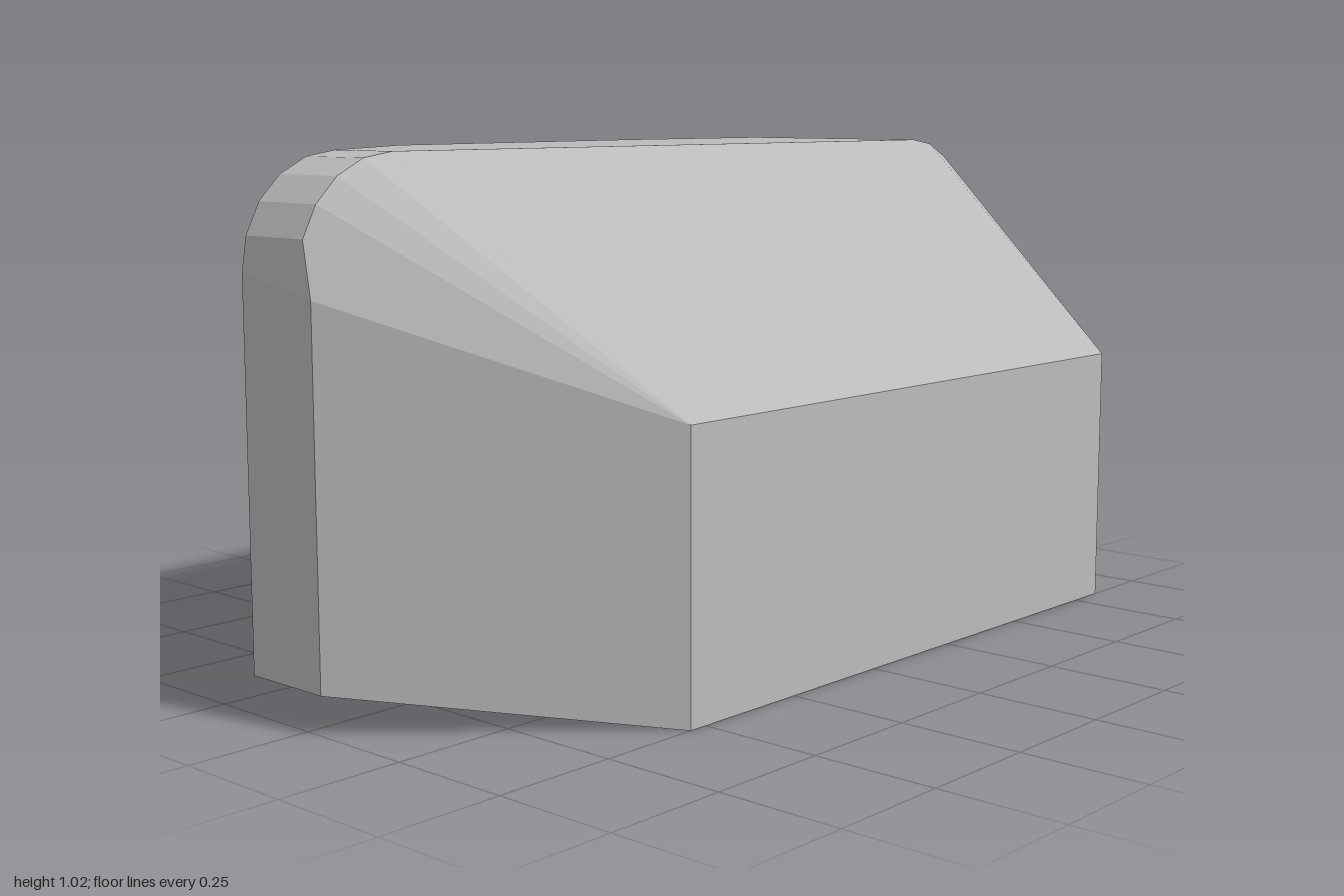
import * as THREE from 'three';
import { ConvexGeometry } from 'three/addons/geometries/ConvexGeometry.js';

const ROOF = 1.02, SILL = 0.073, RADIUS = 0.213, ARC_STEPS = 5;

export function createModel() {
  const grey = new THREE.MeshStandardMaterial({ color: 0xbbbbbb });
  grey.name = 'grey';
  const points = [];
  const add = (x, y, z) => points.push(new THREE.Vector3(x, y, z));

  // Left wall corners, full height
  for (const [x, z] of [[-0.4, 0.43], [-0.5, -0.35], [-0.5, -0.81]]) {
    add(x, SILL, z);
    add(x, ROOF, z);
  }

  // Low right wall, reaching the ground
  for (const z of [0.54, -0.835]) {
    add(0.5, 0, z);
    add(0.5, 0.55, z);
  }

  // Front and back ends, rounded over into the roof
  for (const end of [1, -1]) {
    for (let i = 0; i <= ARC_STEPS; i++) {
      const a = (i / ARC_STEPS) * Math.PI / 2;
      const y = ROOF - RADIUS * (1 - Math.cos(a));
      const z = end * (1 - RADIUS * (1 - Math.sin(a)));
      add(-0.155, y, z);
      if (i < ARC_STEPS) add(0.008, y, z);
    }
    add(0.04, 0.77, end);
    add(0.04, SILL, end);
    add(-0.155, SILL, end);
  }

  // Faceted solid enclosing all the corners
  const body = new THREE.Mesh(new ConvexGeometry(points), grey);
  body.name = 'body';

  const group = new THREE.Group();
  group.name = 'facetedBlock';
  group.add(body);
  return group;
}
